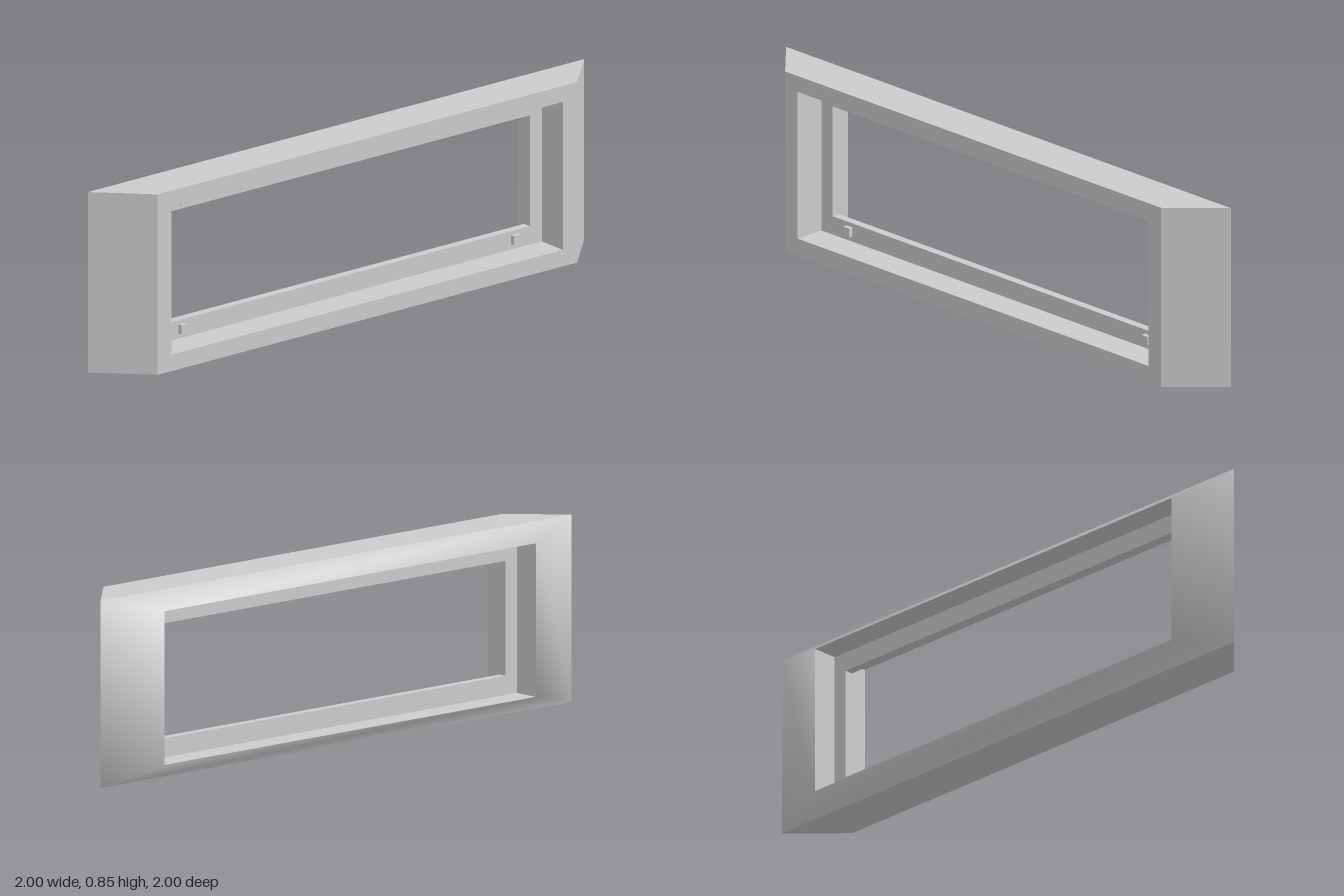
import * as THREE from 'three';

const GREY = new THREE.MeshStandardMaterial({ color: 0xcccccc });

// Rectangular loop of four corners, anticlockwise seen from the front
const rect = (halfWidth, bottom, top, z) => [
  [-halfWidth, bottom, z], [halfWidth, bottom, z],
  [halfWidth, top, z], [-halfWidth, top, z],
];

// Band of four quads joining two loops; smooth bands share corner normals
function band(name, a, b, smooth = false) {
  let geo = new THREE.BufferGeometry();
  geo.setAttribute('position', new THREE.Float32BufferAttribute([...a, ...b].flat(), 3));
  const index = [];
  for (let i = 0; i < 4; i++) {
    const j = (i + 1) % 4;
    index.push(i, j, 4 + j, i, 4 + j, 4 + i);
  }
  geo.setIndex(index);
  if (!smooth) geo = geo.toNonIndexed();
  geo.computeVertexNormals();
  const mesh = new THREE.Mesh(geo, GREY);
  mesh.name = name;
  return mesh;
}

export function createModel() {
  const model = new THREE.Group();
  model.name = 'windowFrame';

  // The frame runs diagonally; its local z is the direction it faces
  const frame = new THREE.Group();
  frame.name = 'frame';
  frame.rotation.y = Math.PI / 4;
  model.add(frame);

  // Casing: front face, opening lining, sloped back and outer sides
  const H = 0.845;
  const frontOuter = rect(1.195, 0, H, 0.219);
  const frontInner = rect(1.115, 0.077, 0.77, 0.219);
  const backInner = rect(1.115, 0.077, 0.77, -0.092);
  const backOuter = rect(Math.SQRT2, 0, H, 0);
  frame.add(
    band('frontFace', frontOuter, frontInner),
    band('openingLining', frontInner, backInner),
    band('backBevel', backInner, backOuter, true),
    band('outerSides', backOuter, frontOuter),
  );

  // Inner sash set into the opening
  const sash = new THREE.Group();
  sash.name = 'sash';
  const [zFront, zBack] = [0.071, 0.031];
  const sashOuter = (z) => rect(1.115, 0.077, 0.77, z);
  const sashInner = (z) => rect(1.047, 0.163, 0.682, z);
  sash.add(
    band('sashFront', sashOuter(zFront), sashInner(zFront)),
    band('sashLining', sashInner(zFront), sashInner(zBack)),
    band('sashBack', sashInner(zBack), sashOuter(zBack)),
  );
  frame.add(sash);

  // Small lugs on the front of the sash, near its corners
  const lugGeo = new THREE.BoxGeometry(0.038, 0.042, 0.021);
  for (const x of [-0.937, 0.959]) {
    for (const y of [0.123, 0.727]) {
      const lug = new THREE.Mesh(lugGeo, GREY);
      lug.name = 'lug';
      lug.position.set(x, y, zFront + 0.0105);
      frame.add(lug);
    }
  }
  return model;
}
